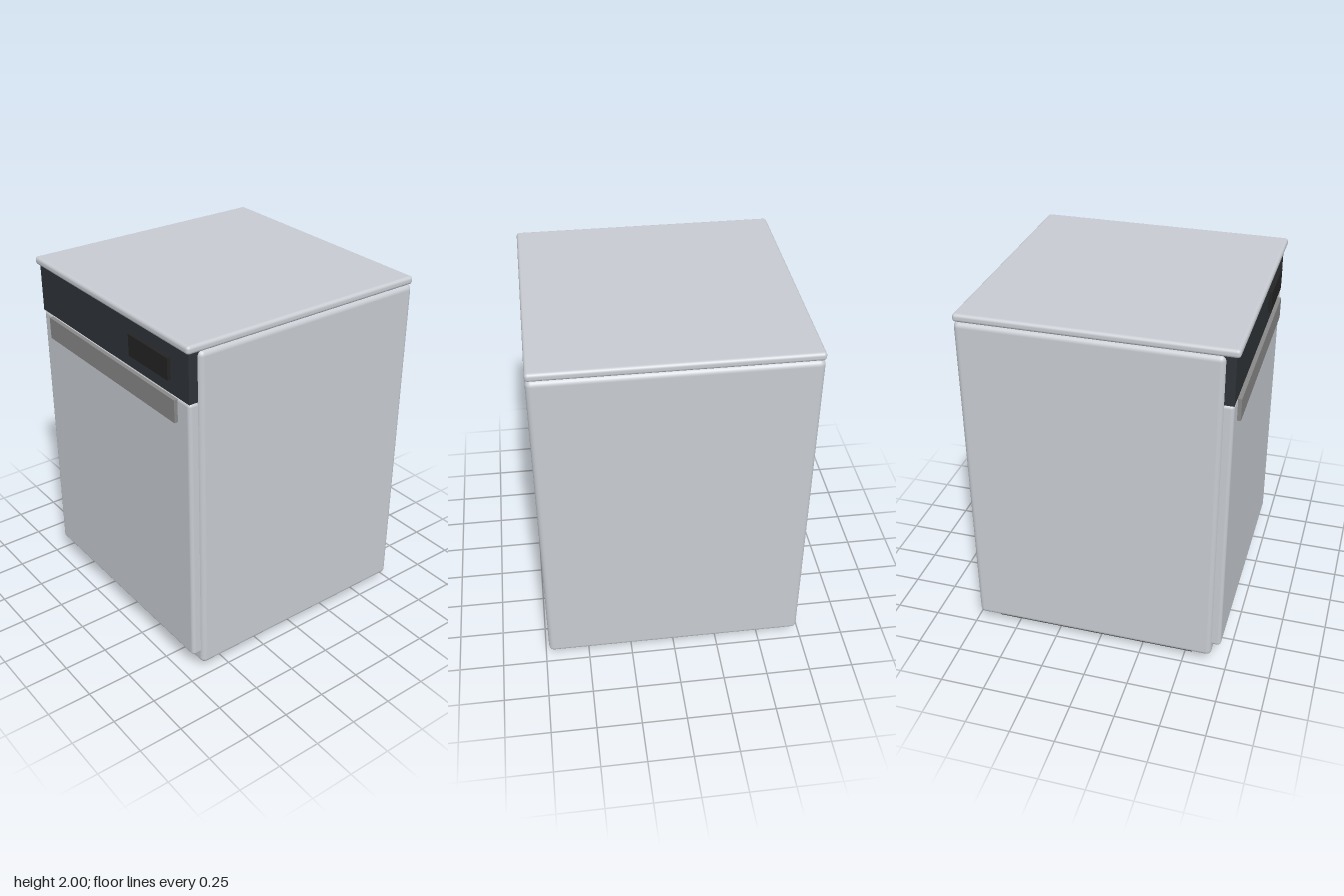
import * as THREE from 'three';
import { RoundedBoxGeometry } from 'three/addons/geometries/RoundedBoxGeometry.js';

const material = (color) => new THREE.MeshStandardMaterial({ color });

export function createModel() {
  const model = new THREE.Group();
  const enamel = material(0xc8ccd2);
  const panelDark = material(0x2f3338);
  const displayDark = material(0x242424);
  const handleGrey = material(0x888888);
  const plinthDark = material(0x3a3a3c);

  // Box given by its limits on each axis; a radius rounds its edges
  function addBox(name, [x0, x1], [y0, y1], [z0, z1], mat, radius = 0) {
    const size = [x1 - x0, y1 - y0, z1 - z0];
    const geometry = radius
      ? new RoundedBoxGeometry(...size, 4, radius)
      : new THREE.BoxGeometry(...size);
    const mesh = new THREE.Mesh(geometry, mat);
    mesh.name = name;
    mesh.position.set((x0 + x1) / 2, (y0 + y1) / 2, (z0 + z1) / 2);
    model.add(mesh);
  }

  // Cabinet on a recessed plinth, with an overhanging worktop
  addBox('plinth', [-0.66, 0.66], [0, 0.07], [-0.63, 0.54], plinthDark);
  addBox('cabinet', [-0.73, 0.73], [0.055, 1.955], [-0.73, 0.66], enamel, 0.03);
  addBox('worktop', [-0.73, 0.73], [1.955, 2], [-0.73, 0.73], enamel, 0.018);

  // Front door with a flat handle bar
  addBox('door', [-0.708, 0.708], [0.125, 1.685], [0.64, 0.71], enamel, 0.02);
  addBox('handle', [-0.61, 0.61], [1.55, 1.675], [0.7, 0.73], handleGrey);

  // Control panel with a raised display
  addBox('controlPanel', [-0.708, 0.708], [1.685, 1.957], [0.64, 0.71], panelDark);
  addBox('display', [0.215, 0.558], [1.76, 1.88], [0.7, 0.73], displayDark);

  return model;
}
